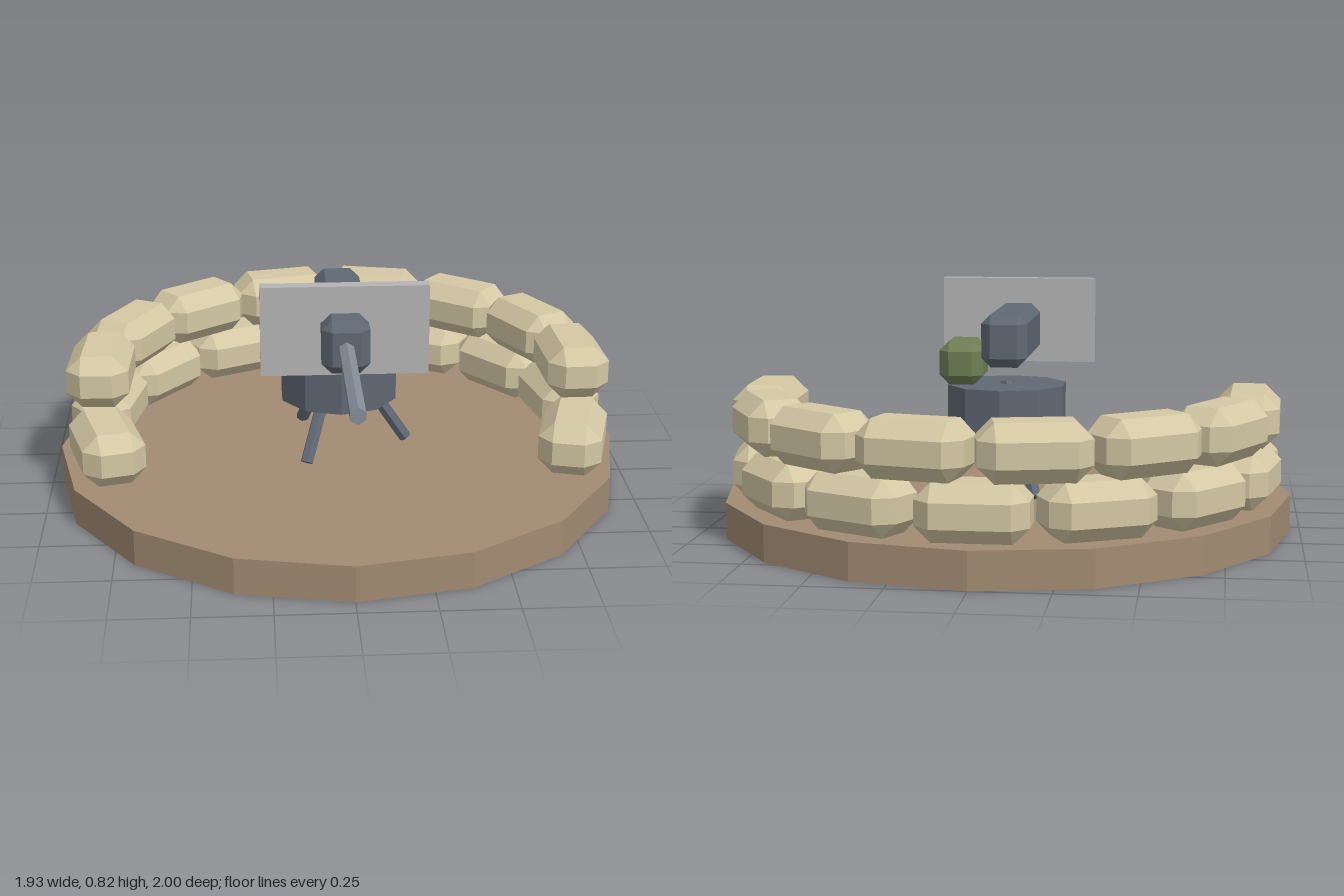
import * as THREE from 'three';
import { ConvexGeometry } from 'three/addons/geometries/ConvexGeometry.js';

const CENTRE_Z = -0.035;

const material = (name, color) => {
  const m = new THREE.MeshStandardMaterial({ color, flatShading: true });
  m.name = name;
  return m;
};

// Box with every edge cut by a flat chamfer
function chamferBox(w, h, d, c) {
  const points = [];
  for (const sx of [-1, 1]) for (const sy of [-1, 1]) for (const sz of [-1, 1]) {
    for (let axis = 0; axis < 3; axis++) {
      const inset = [c, c, c];
      inset[axis] = 0;
      points.push(new THREE.Vector3(
        sx * (w / 2 - inset[0]), sy * (h / 2 - inset[1]), sz * (d / 2 - inset[2])));
    }
  }
  return new ConvexGeometry(points);
}

export function createModel() {
  const model = new THREE.Group();
  model.name = 'gunEmplacement';

  const earth = material('earth', 0xa28b72);
  const canvas = material('sandCanvas', 0xd4c8a4);
  const gunmetal = material('gunmetal', 0x606874);
  const steel = material('barrelSteel', 0x858d98);
  const plate = material('shieldGrey', 0xb4b4b4);
  const olive = material('oliveGreen', 0x6f7f55);

  const add = (name, geometry, mat, x, y, z, parent = model) => {
    const mesh = new THREE.Mesh(geometry, mat);
    mesh.name = name;
    mesh.position.set(x, y, z);
    parent.add(mesh);
    return mesh;
  };

  // Sixteen-sided ground slab
  add('base', new THREE.CylinderGeometry(0.967, 0.967, 0.122, 16), earth, 0, 0.061, CENTRE_Z);

  // Two staggered rows of sandbags, open towards the front
  const bag = chamferBox(0.35, 0.184, 0.212, 0.052);
  const sandbagRow = (name, count, halfArc, y) => {
    const row = new THREE.Group();
    row.name = name;
    for (let i = 0; i < count; i++) {
      const t = THREE.MathUtils.degToRad(halfArc * (2 * i / (count - 1) - 1));
      const mesh = add('sandbag', bag, canvas,
        0.82 * Math.sin(t), y, CENTRE_Z - 0.82 * Math.cos(t), row);
      mesh.rotation.y = -t;
    }
    model.add(row);
  };
  sandbagRow('lowerSandbags', 9, 105, 0.212);
  sandbagRow('upperSandbags', 8, 87.7, 0.395);

  // Pedestal drum
  add('pedestal', new THREE.CylinderGeometry(0.206, 0.206, 0.183, 10), gunmetal, 0, 0.3945, CENTRE_Z);

  // Tripod legs meeting just above the drum
  const up = new THREE.Vector3(0, 1, 0);
  for (let i = 0; i < 3; i++) {
    const a = i * Math.PI * 2 / 3;
    const foot = new THREE.Vector3(0.237 * Math.cos(a), 0.13, CENTRE_Z + 0.237 * Math.sin(a));
    const top = new THREE.Vector3(0, 0.488, CENTRE_Z);
    const mid = foot.clone().add(top).multiplyScalar(0.5);
    const leg = add('tripodLeg', new THREE.CylinderGeometry(0.023, 0.023, foot.distanceTo(top), 6),
      gunmetal, mid.x, mid.y, mid.z);
    leg.quaternion.setFromUnitVectors(up, top.clone().sub(foot).normalize());
  }

  // Gun body and hexagonal barrel
  add('receiver', chamferBox(0.155, 0.18, 0.605, 0.032), gunmetal, 0, 0.64, 0.15);
  const barrel = new THREE.CylinderGeometry(0.027, 0.027, 0.6, 6);
  barrel.rotateX(Math.PI / 2);
  add('barrel', barrel, steel, 0, 0.64, 0.7);

  // Ammunition box on the left side
  add('ammoBox', chamferBox(0.152, 0.154, 0.182, 0.036), olive, 0.15, 0.56, -0.032);

  // Flat gun shield
  add('shield', new THREE.BoxGeometry(0.545, 0.3, 0.045), plate, 0, 0.67, 0.332);

  return model;
}
